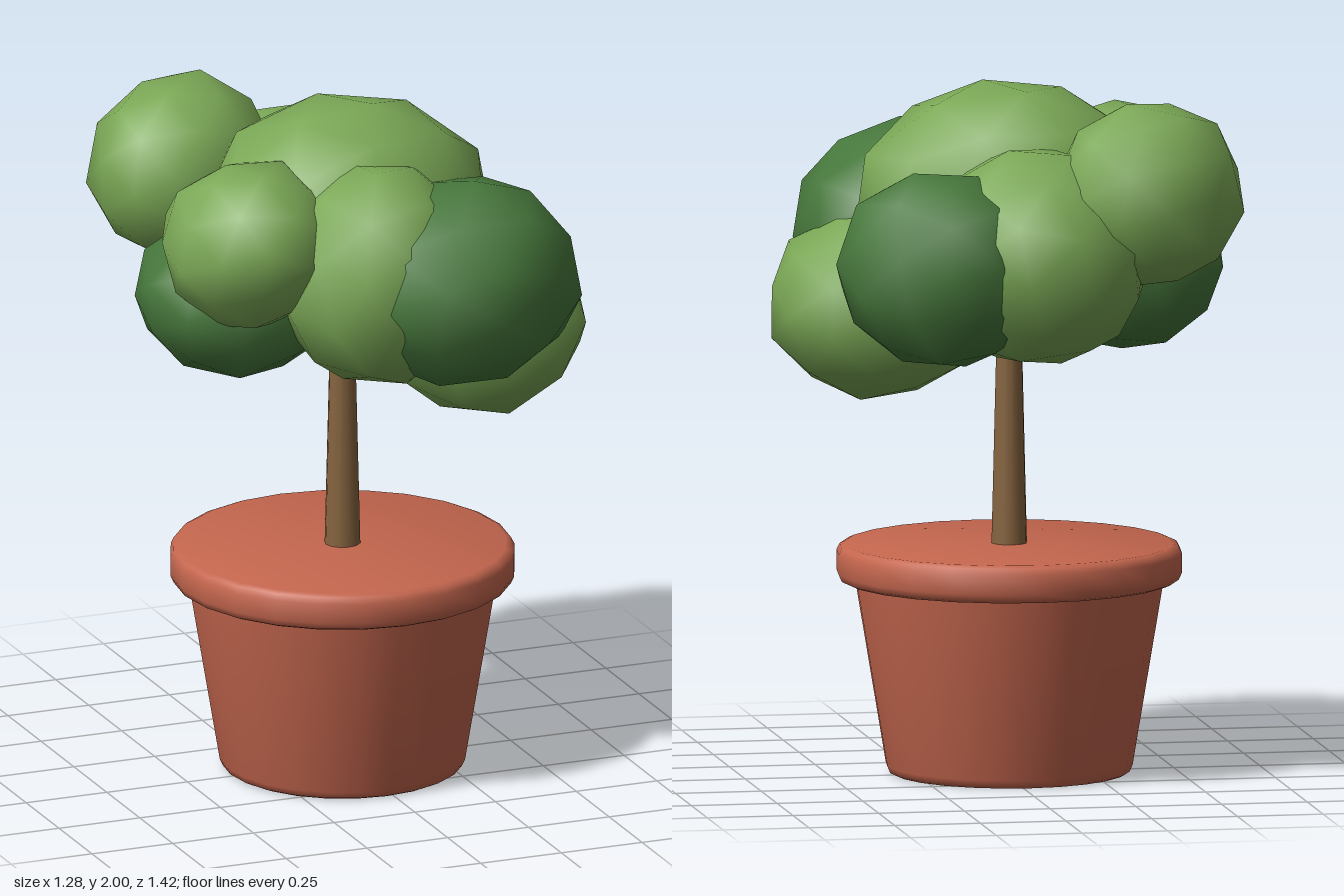
import * as THREE from 'three';
import { mergeVertices, toCreasedNormals } from 'three/addons/utils/BufferGeometryUtils.js';

const mat = (name, color) => {
  const m = new THREE.MeshStandardMaterial({ color });
  m.name = name;
  return m;
};

// Low-poly leaf clump, slightly irregular, with the given half sizes
function clumpGeometry(radii, seed) {
  let g = new THREE.IcosahedronGeometry(1, 1);
  g.deleteAttribute('uv');
  g.deleteAttribute('normal');
  g = mergeVertices(g, 1e-3);
  g.rotateY(seed * 1.3).rotateX(seed * 0.7);
  const p = g.attributes.position;
  for (let i = 0; i < p.count; i++) {
    const r = 1 + 0.03 * Math.sin(i * 2.4 + seed * 5);
    p.setXYZ(i, r * p.getX(i), r * p.getY(i), r * p.getZ(i));
  }
  g.center();
  const { max } = g.boundingBox;
  const half = g.boundingBox.getSize(new THREE.Vector3()).multiplyScalar(0.5).toArray();
  g.scale(...radii.map((r, i) => r / half[i]));
  g.computeVertexNormals();
  return g;
}

export function createModel() {
  const model = new THREE.Group();
  model.name = 'pottedTree';
  const terracotta = mat('terracotta', 0xc4664e);
  const bark = mat('bark', 0x86643f);
  const lightLeaf = mat('lightLeaf', 0x7ba856);
  const darkLeaf = mat('darkLeaf', 0x47783c);

  const add = (name, geometry, material, parent = model) => {
    const mesh = new THREE.Mesh(geometry, material);
    mesh.name = name;
    parent.add(mesh);
    return mesh;
  };
  const lathe = (points, sides) => toCreasedNormals(
    new THREE.LatheGeometry(points.map(([x, y]) => new THREE.Vector2(x, y)), sides), 0.85);

  // Pot: tapered body and a thick rounded rim with a flat top
  const axisX = -0.02;
  add('potBody', lathe([[0, 0], [0.335, 0], [0.347, 0.006], [0.355, 0.025], [0.446, 0.57]], 24),
    terracotta).position.x = axisX;
  add('potRim', lathe([[0, 0.556], [0.472, 0.556], [0.488, 0.563], [0.497, 0.583],
    [0.497, 0.64], [0.488, 0.658], [0.472, 0.665], [0, 0.665]], 24), terracotta).position.x = axisX;

  // Trunk, reaching up into the leaves
  add('trunk', new THREE.CylinderGeometry(0.03, 0.052, 0.9, 12), bark).position.set(axisX, 1.1, 0);

  // Leaf clumps: name, material, centre, half sizes, turn about the vertical
  const canopy = new THREE.Group();
  canopy.name = 'canopy';
  model.add(canopy);
  [
    ['topClump', lightLeaf, [-0.005, 1.64, 0], [0.42, 0.36, 0.355], 0],
    ['frontLeftClump', darkLeaf, [0.2, 1.54, 0.36], [0.375, 0.31, 0.325], 0.61],
    ['leftLowClump', lightLeaf, [0.33, 1.35, 0.135], [0.31, 0.27, 0.345], 0],
    ['frontClump', lightLeaf, [-0.035, 1.57, 0.29], [0.305, 0.33, 0.285], 0.61],
    ['frontRightClump', lightLeaf, [-0.38, 1.665, 0.18], [0.255, 0.235, 0.265], 0],
    ['backRightClump', lightLeaf, [-0.345, 1.725, -0.4], [0.295, 0.265, 0.265], 0.64],
    ['backLeftClump', darkLeaf, [0.26, 1.52, -0.41], [0.305, 0.28, 0.265], -0.64],
    ['backClump', lightLeaf, [-0.025, 1.545, -0.375], [0.33, 0.315, 0.335], 0],
    ['rightLowClump', darkLeaf, [-0.35, 1.46, 0], [0.29, 0.24, 0.29], 0],
  ].forEach(([name, material, centre, radii, turn], i) => {
    const clump = add(name, clumpGeometry(radii, i + 1), material, canopy);
    clump.position.set(...centre);
    clump.rotation.y = turn;
  });

  return model;
}
